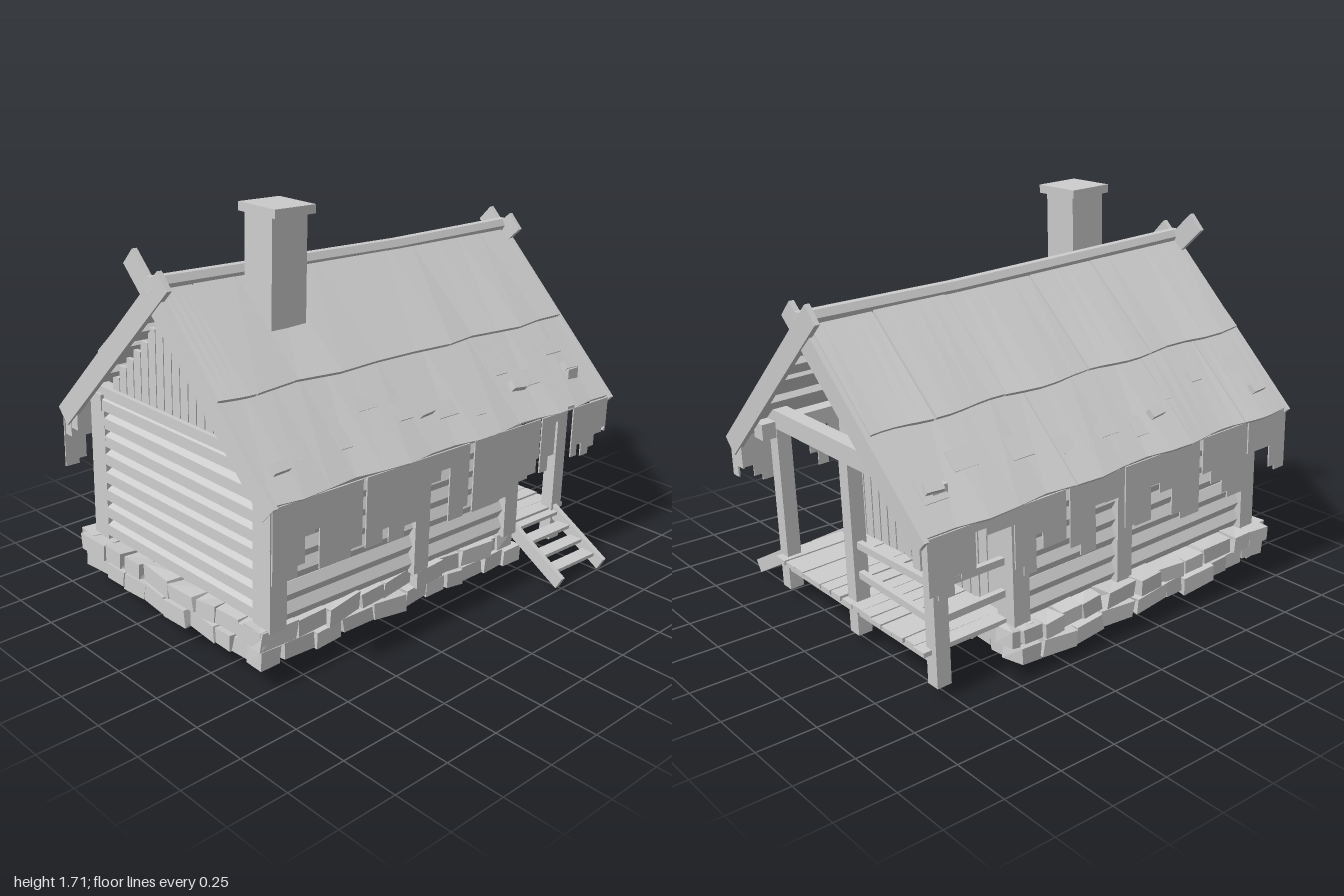
import * as THREE from 'three';

const grey = new THREE.MeshStandardMaterial({ color: 0xcccccc, flatShading: true, side: THREE.DoubleSide });
grey.name = 'weatheredGrey';

let seed = 7;
const rnd = (a = -1, b = 1) => {
  seed = (seed * 16807) % 2147483647;
  return a + (b - a) * (seed / 2147483647);
};

function add(parent, name, geo, x, y, z, rx = 0, ry = 0, rz = 0) {
  const m = new THREE.Mesh(geo, grey);
  m.name = name;
  m.position.set(x, y, z);
  m.rotation.set(rx, ry, rz);
  parent.add(m);
  return m;
}
const box = (p, name, w, h, d, ...at) => add(p, name, new THREE.BoxGeometry(w, h, d), ...at);
function part(parent, name) {
  const g = new THREE.Group();
  g.name = name;
  parent.add(g);
  return g;
}

const RIDGE_Y = 1.42, RIDGE_Z = -0.09;
const FRONT = 0.45, BACK = -0.6, LEFT = -0.885, RIGHT = 0.415, PORCH = 0.775;
const roofY = z => RIDGE_Y - 0.93 * Math.abs(z - RIDGE_Z);

// Uneven stones laid in two rows around the cabin
function buildFoundation(hut) {
  const g = part(hut, 'stoneFoundation');
  const stone = (along, t, c, row, len) => {
    const geo = new THREE.BoxGeometry(len, rnd(0.06, 0.075), rnd(0.08, 0.11));
    const p = geo.attributes.position;
    for (let i = 0; i < p.count; i++) {
      const k = Math.sin(p.getX(i) * 91 + p.getY(i) * 57 + p.getZ(i) * 33 + t * 40);
      p.setXYZ(i, p.getX(i) * (1 + 0.08 * k), p.getY(i) * (1 + 0.1 * k), p.getZ(i));
    }
    const y = 0.105 + row * 0.075 + rnd() * 0.006, off = c + rnd() * 0.015;
    if (along === 'x') add(g, 'stone', geo, t, y, off, 0, rnd() * 0.12, rnd() * 0.08);
    else add(g, 'stone', geo, off, y, t, 0, Math.PI / 2 + rnd() * 0.12, rnd() * 0.08);
  };
  for (let row = 0; row < 2; row++) {
    const run = (along, from, to, c) => {
      for (let t = from; t < to;) {
        const len = Math.min(rnd(0.1, 0.19), to - t + 0.04);
        stone(along, t + len / 2, c, row, len - 0.008);
        t += len;
      }
    };
    for (const z of [FRONT, BACK - 0.06]) run('x', -0.96, 0.46, z);
    for (const x of [-0.92, 0.42]) run('z', BACK - 0.08, FRONT + 0.01, x);
  }
}

function buildCabin(hut) {
  // Floor boards
  const floor = part(hut, 'floor');
  for (let i = 0; i < 10; i++) box(floor, 'floorBoard', 1.32, 0.025, 0.101, -0.235, 0.205, BACK + 0.05 + i * 0.105);

  // Log walls on three sides
  const logs = part(hut, 'logWalls');
  const log = len => new THREE.CylinderGeometry(0.046, 0.046, len, 6);
  for (let i = 0; i < 8; i++) {
    const y = 0.255 + i * 0.079;
    for (const z of [FRONT, BACK]) if (i < 7) add(logs, 'log', log(1.3), -0.235, y, z, 0, 0, Math.PI / 2 + rnd() * 0.006);
    add(logs, 'log', log(1.05), LEFT, y, -0.075, Math.PI / 2 + rnd() * 0.006);
  }

  // Posts and top plates
  const frame = part(hut, 'timberFrame');
  for (const z of [FRONT + 0.01, BACK - 0.01]) {
    for (const x of [LEFT, -0.135, RIGHT]) box(frame, 'wallPost', 0.08, 0.6, 0.1, x, 0.51, z, 0, 0, rnd() * 0.012);
    box(frame, 'topPlate', 1.8, 0.07, 0.07, -0.03, 0.815, z);
  }
  for (const x of [LEFT, RIGHT]) box(frame, 'tieBeam', 0.06, 0.07, 1.12, x, 0.845, -0.075);

  // Plank wall facing the porch
  const planks = part(hut, 'plankWall');
  for (let i = 0; i < 18; i++) {
    box(planks, 'plank', 0.025, 0.61, 0.05, RIGHT, 0.51, 0.41 - i * 0.057, rnd() * 0.006);
  }

  // Vertical boards closing both gables
  const gables = part(hut, 'gableBoards');
  for (const x of [LEFT, RIGHT + 0.01]) {
    for (let z = -0.51; z < 0.36; z += 0.052) {
      const top = roofY(z) - 0.07 - rnd(0, 0.03);
      if (top > 0.9) box(gables, 'gableBoard', 0.02, top - 0.85, 0.047, x, (top + 0.85) / 2, z);
    }
  }

  // Braced door and lintel
  const door = part(hut, 'door');
  for (let i = 0; i < 4; i++) box(door, 'doorBoard', 0.02, 0.5, 0.056, 0.435, 0.5, 0.02 - i * 0.06);
  for (const y of [0.32, 0.68]) box(door, 'doorRail', 0.02, 0.04, 0.22, 0.452, y, -0.07);
  box(door, 'doorBrace', 0.02, 0.39, 0.035, 0.452, 0.5, -0.07, -0.45);
  box(door, 'lintel', 0.04, 0.055, 0.42, 0.45, 0.8, -0.08, 0.02);
}

function buildPorch(hut) {
  const porch = part(hut, 'porch');
  // Deck
  for (let i = 0; i < 15; i++) {
    box(porch, 'deckBoard', 0.4 + rnd(0, 0.03), 0.02, 0.067, 0.63, 0.225 + rnd() * 0.004, 0.43 - i * 0.072, 0, rnd() * 0.02);
  }
  for (const x of [0.47, PORCH]) box(porch, 'deckBeam', 0.05, 0.045, 1.1, x, 0.19, -0.075);
  // Posts and beams
  for (const z of [FRONT, RIDGE_Z + 0.01, BACK - 0.005]) box(porch, 'porchPost', 0.065, 0.76, 0.06, PORCH, 0.46, z);
  box(porch, 'porchBeam', 0.065, 0.08, 1.18, PORCH, 0.86, -0.075);
  // Railings on the side and back
  for (const [y, tilt] of [[0.34, -0.02], [0.48, 0.03]]) {
    box(porch, 'sideRail', 0.025, 0.03, 0.5, PORCH, y, -0.34, tilt);
    box(porch, 'backRail', 0.34, 0.03, 0.025, 0.6, y, BACK, 0, 0, tilt * 0.5);
  }
  // Steps
  const steps = part(hut, 'steps');
  for (const x of [0.475, 0.765]) box(steps, 'stringer', 0.022, 0.06, 0.37, x, 0.147, 0.598, 0.52);
  for (let i = 0; i < 4; i++) box(steps, 'tread', 0.28, 0.015, 0.065, 0.62, 0.09 + i * 0.042, 0.69 - i * 0.072);
}

// One run of roofing: the low edge waves and is lifted off the layer below
function sheet(parent, s, x0, x1, d0, d1, lift) {
  const w = x1 - x0 - 0.006, geo = new THREE.BoxGeometry(w, 0.018, d1 - d0, 5, 1, 1);
  const p = geo.attributes.position, cx = (x0 + x1) / 2;
  for (let i = 0; i < p.count; i++) {
    if (p.getZ(i) * s < 0) continue;
    const wave = Math.sin((p.getX(i) + cx) * 13) * 0.009;
    p.setZ(i, p.getZ(i) + s * wave);
    p.setY(i, p.getY(i) + lift + wave * 0.5);
  }
  add(parent, 'roofSheet', geo, cx, rnd() * 0.003 - 0.01, s * (d0 + d1) / 2);
}

function buildRoof(hut) {
  const sides = [
    { s: 1, a: 0.75, len: 0.955, mid: 0.53, upper: [-1, -0.83, 0.19, 0.925], lower: [-1, -0.33, 0.33, 0.925],
      blocks: [[-0.9, 0.83], [-0.13, 0.78], [0.42, 0.79], [0.78, 0.77]] },
    { s: -1, a: 0.77, len: 0.935, mid: 0.52, upper: [-1, -0.46, -0.12, 0.31, 0.65, 0.925],
      lower: [-1, -0.73, -0.41, 0.22, 0.925], blocks: [[-0.89, 0.81], [-0.31, 0.77], [0.8, 0.77]] },
  ];
  for (const { s, a, len, mid, upper, lower, blocks } of sides) {
    const g = part(hut, s > 0 ? 'frontRoof' : 'backRoof');
    g.position.set(0, RIDGE_Y, RIDGE_Z);
    g.rotation.x = s * a;
    for (let i = 1; i < upper.length; i++) sheet(g, s, upper[i - 1], upper[i], 0, mid, 0.022);
    for (let i = 1; i < lower.length; i++) sheet(g, s, lower[i - 1], lower[i], mid - 0.06, len, 0.004);
    for (const [x, d] of blocks) box(g, 'roofBlock', 0.075, 0.03, 0.04, x, 0.016, s * d, 0, rnd() * 0.15);
    // Thin repair patches near the eave
    for (let i = 0; i < 9; i++) {
      box(g, 'roofPatch', rnd(0.05, 0.11), 0.006, rnd(0.05, 0.1), -0.82 + i * 0.2 + rnd() * 0.05, 0.003, s * rnd(0.64, 0.87));
    }
    // Rafters, purlins and edge boards that cross above the ridge
    for (const x of [-0.5, -0.135, 0.4]) box(g, 'rafter', 0.045, 0.05, len - 0.1, x, -0.045, s * len / 2);
    for (const d of [0.3, 0.62]) box(g, 'purlin', 1.88, 0.03, 0.045, -0.04, -0.035, s * d);
    for (const [x, over, turn] of [[-0.995, s > 0 ? 0.16 : 0.08, 0], [0.937, s > 0 ? 0.1 : 0.08, -0.025 * s]]) {
      const l = len + 0.012 + over;
      box(g, 'edgeBoard', 0.022, 0.09, l, x + s * 0.004, -0.04, s * (len + 0.012 - over) / 2, 0, turn);
    }
  }

  // Ridge pole in two lengths with a slight sag where they meet
  const ridge = part(hut, 'ridge');
  const pole = (x0, y0, x1, y1) => add(ridge, 'ridgePole', new THREE.CylinderGeometry(0.033, 0.033, Math.hypot(x1 - x0, y1 - y0), 6),
    (x0 + x1) / 2, (y0 + y1) / 2, RIDGE_Z, 0, 0, Math.atan2(y1 - y0, x1 - x0) - Math.PI / 2);
  pole(-1.01, RIDGE_Y, 0.25, RIDGE_Y - 0.012);
  pole(0.25, RIDGE_Y - 0.012, 0.96, RIDGE_Y);
}

// Ragged strips hanging from the eaves: [x0, x1, bottom]
function buildEaves(hut) {
  const front = [[-1.0, -0.85, 0.47], [-0.85, -0.78, 0.62], [-0.78, -0.57, 0.47], [-0.55, -0.43, 0.48], [-0.43, -0.28, 0.47],
    [-0.28, -0.22, 0.55], [-0.22, -0.1, 0.65], [-0.1, 0.01, 0.46], [0.04, 0.2, 0.46], [0.2, 0.38, 0.47], [0.38, 0.45, 0.53],
    [0.46, 0.55, 0.52], [0.55, 0.67, 0.73], [0.67, 0.74, 0.54], [0.74, 0.83, 0.53], [0.83, 0.91, 0.61]];
  const back = [[-1.0, -0.9, 0.5], [-0.9, -0.76, 0.62], [-0.74, -0.6, 0.46], [-0.6, -0.48, 0.55], [-0.46, -0.3, 0.45],
    [-0.3, -0.18, 0.6], [-0.18, -0.04, 0.5], [-0.01, 0.12, 0.65], [0.12, 0.25, 0.47], [0.27, 0.42, 0.56], [0.42, 0.52, 0.48],
    [0.52, 0.7, 0.7], [0.7, 0.8, 0.57], [0.8, 0.91, 0.52]];
  const g = part(hut, 'raggedEaves');
  for (const [list, z] of [[front, 0.61], [back, -0.755]]) {
    for (const [x0, x1, b] of list) {
      const cut = b + 0.07 * rnd(0, 1), m = x0 + (x1 - x0) * rnd(0.55, 0.8);
      for (const [p, q, low] of [[x0, m, b], [m, x1, cut]]) {
        box(g, 'eaveStrip', q - p, 0.765 - low, 0.006, (p + q) / 2, (0.765 + low) / 2, z);
      }
    }
  }
  // Short strips under the ends of the edge boards
  for (const x of [-0.995, 0.927]) {
    for (const [z, low, top] of [[0.575, 0.6, 0.76], [0.53, 0.65, 0.8], [-0.72, 0.65, 0.77], [-0.67, 0.69, 0.82]]) {
      box(g, 'endStrip', 0.008, top - low, 0.045, x, (top + low) / 2, z);
    }
  }
}

// Chimney with a flat cap
function buildChimney(hut) {
  const g = part(hut, 'chimney');
  box(g, 'chimneyStack', 0.172, 0.5, 0.162, -0.53, 1.42, 0.055);
  box(g, 'chimneyCap', 0.2, 0.035, 0.215, -0.527, 1.675, 0.057);
}

export function createModel() {
  seed = 7;
  const model = new THREE.Group();
  model.name = 'cabin';
  const hut = part(model, 'leaningHut');
  hut.rotation.z = -0.037;
  buildFoundation(hut);
  buildCabin(hut);
  buildPorch(hut);
  buildRoof(hut);
  buildEaves(hut);
  buildChimney(hut);
  return model;
}
